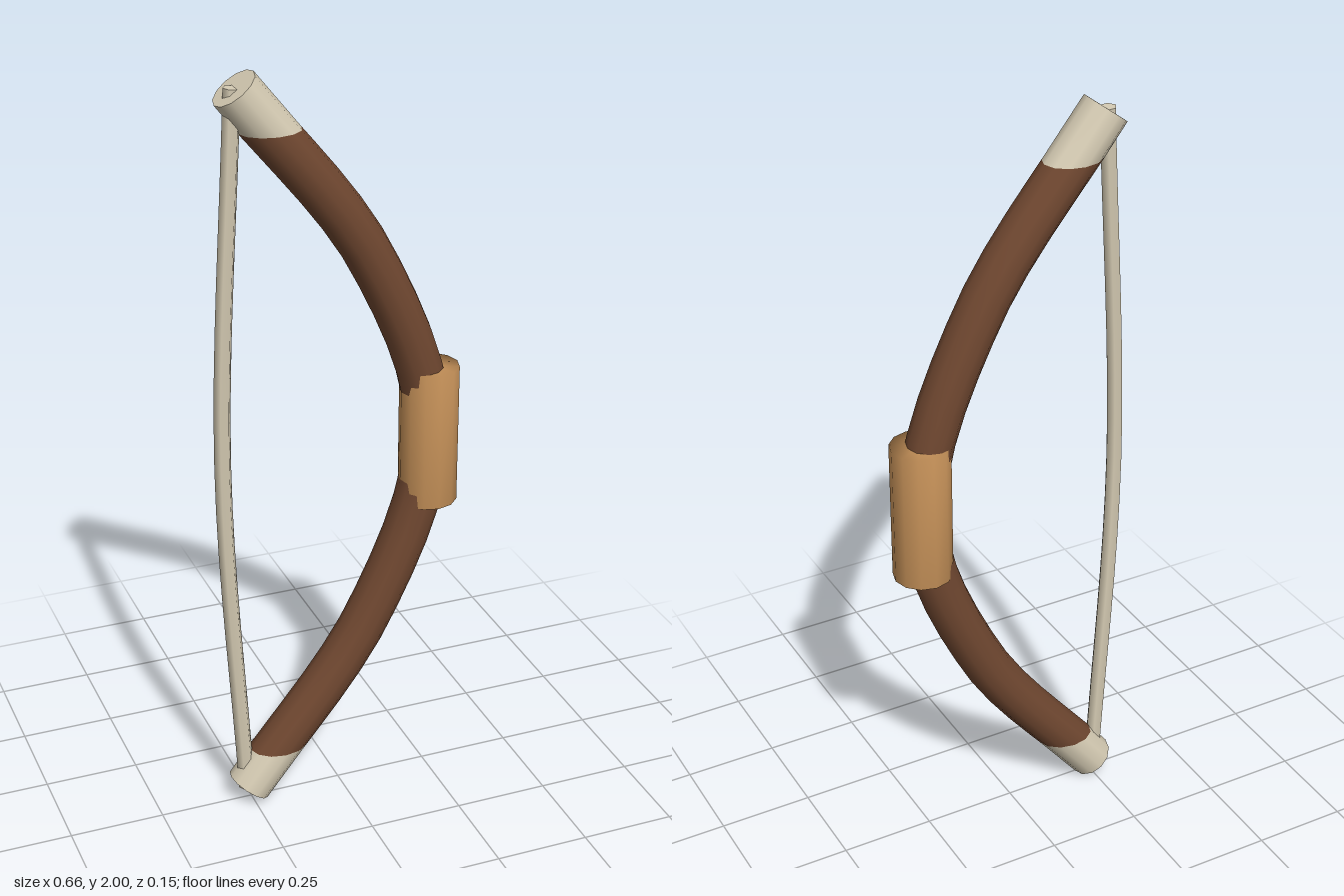
import * as THREE from 'three';
import { mergeVertices } from 'three/addons/utils/BufferGeometryUtils.js';

const wood = new THREE.MeshStandardMaterial({ name: 'brown wood', color: 0x6f4730 });
const leather = new THREE.MeshStandardMaterial({ name: 'tan grip', color: 0xc8935a });
const bone = new THREE.MeshStandardMaterial({ name: 'pale bone', color: 0xd6ccb4 });

const planarCurve = (points) =>
  new THREE.CatmullRomCurve3(points.map(([x, y]) => new THREE.Vector3(x, y, 0)));

// Round sweep along a curve in the xy plane, from u0 to u1.
// levelStart / levelEnd cut that end horizontally; capStart / capEnd close it flat.
function sweep(curve, u0, u1, steps, radius, sides, opts = {}) {
  const pos = [], nor = [], idx = [];
  const add = (p, n) => pos.push(...p.toArray()) && nor.push(...n.toArray()) && pos.length / 3 - 1;

  const ring = (u, level, flatNormal) => {
    const c = curve.getPointAt(u), t = curve.getTangentAt(u);
    for (let j = 0; j <= sides; j++) {
      const a = (j / sides) * Math.PI * 2;
      const n = new THREE.Vector3(-t.y * Math.cos(a), t.x * Math.cos(a), Math.sin(a));
      const p = c.clone().addScaledVector(n, radius);
      if (level) p.addScaledVector(t, (c.y - p.y) / t.y);
      add(p, flatNormal || n);
    }
  };

  for (let i = 0; i <= steps; i++) {
    ring(u0 + (u1 - u0) * (i / steps),
      (i === 0 && opts.levelStart) || (i === steps && opts.levelEnd));
  }
  for (let i = 0; i < steps; i++) {
    for (let j = 0; j < sides; j++) {
      const a = i * (sides + 1) + j, d = a + sides + 1;
      idx.push(a, a + 1, d, a + 1, d + 1, d);
    }
  }

  const cap = (u, sign) => {
    const n = curve.getTangentAt(u).multiplyScalar(sign);
    const centre = add(curve.getPointAt(u), n);
    ring(u, false, n);
    for (let j = 1; j <= sides; j++) {
      if (sign > 0) idx.push(centre, centre + j, centre + j + 1);
      else idx.push(centre, centre + j + 1, centre + j);
    }
  };
  if (opts.capStart) cap(u0, -1);
  if (opts.capEnd) cap(u1, 1);

  const g = new THREE.BufferGeometry();
  g.setAttribute('position', new THREE.Float32BufferAttribute(pos, 3));
  g.setAttribute('normal', new THREE.Float32BufferAttribute(nor, 3));
  g.setIndex(idx);
  return g;
}

export function createModel() {
  const model = new THREE.Group();
  model.name = 'bow';
  const part = (name, geometry, material) => {
    const mesh = new THREE.Mesh(geometry, material);
    mesh.name = name;
    model.add(mesh);
    return mesh;
  };

  // Curved stave with a pale tip at each end
  const stave = planarCurve([[-0.257, 1.963], [0.088, 1.5], [0.25, 1], [0.088, 0.5], [-0.257, 0.037]]);
  const tip = 0.14 / stave.getLength();
  const r = 0.061, sides = 12;
  part('stave', sweep(stave, tip, 1 - tip, 20, r, sides, { levelStart: true, levelEnd: true }), wood);
  part('upperTip', sweep(stave, 0, tip, 1, r, sides, { capStart: true, levelEnd: true }), bone);
  part('lowerTip', sweep(stave, 1 - tip, 1, 1, r, sides, { levelStart: true, capEnd: true }), bone);

  // Grip sleeve, shaded softly over its rims
  let grip = new THREE.CylinderGeometry(0.077, 0.077, 0.375, 12);
  grip.deleteAttribute('normal');
  grip.deleteAttribute('uv');
  grip = mergeVertices(grip);
  grip.computeVertexNormals();
  part('grip', grip, leather).position.set(0.25, 1, 0);

  // String, drawn slightly back at the middle
  const string = planarCurve([[-0.262, 1.965], [-0.307, 1], [-0.262, 0.035]]);
  part('string', sweep(string, 0, 1, 16, 0.022, 6, { capStart: true, capEnd: true }), bone);

  return model;
}
